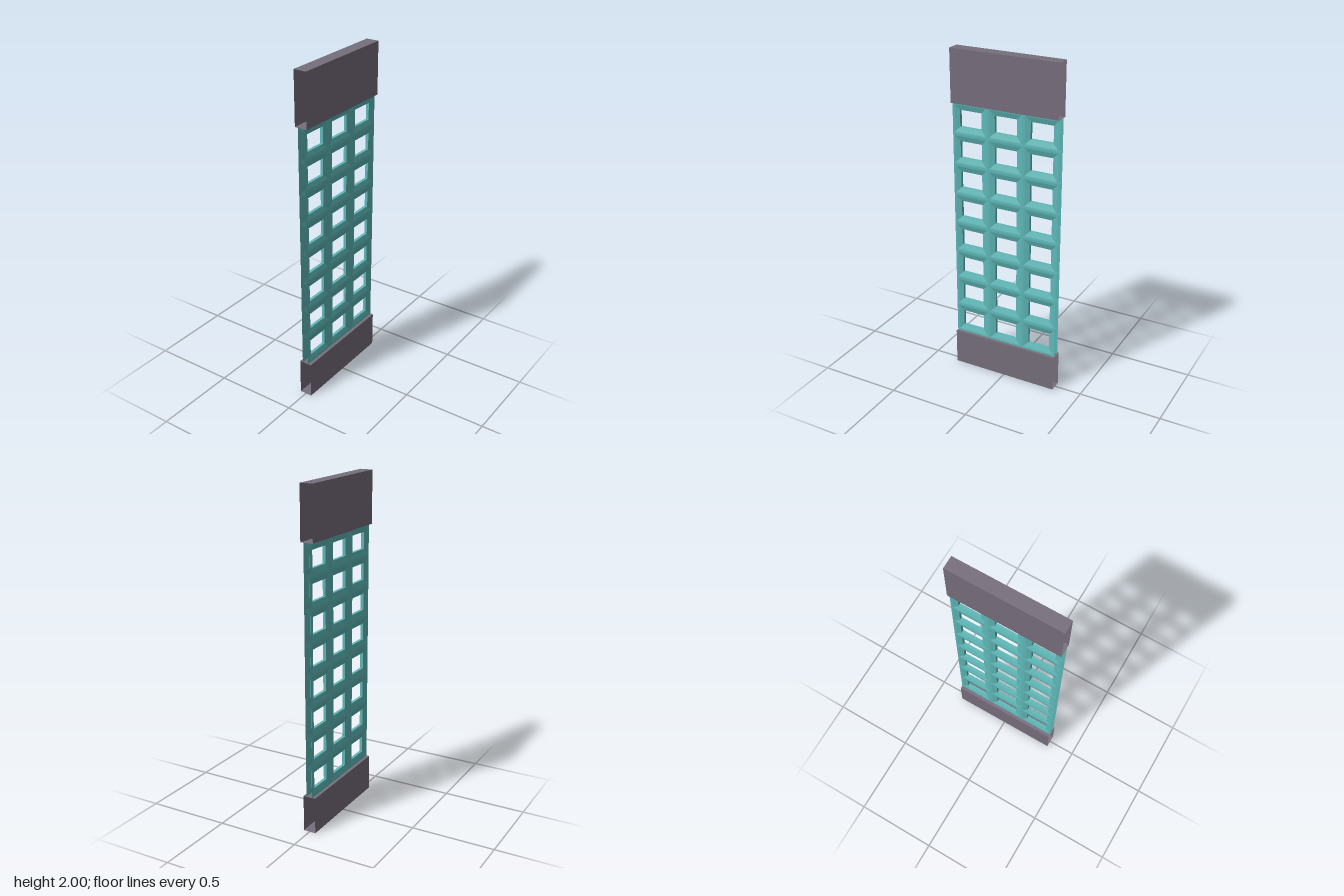
import * as THREE from 'three';
import { mergeGeometries } from 'three/addons/utils/BufferGeometryUtils.js';

const DEPTH = 0.666, BOTTOM = 0.22, TOP = 1.69;
const COLS = 3, ROWS = 8;
const CELL_W = DEPTH / COLS, CELL_H = (TOP - BOTTOM) / ROWS;

// One cell: rectangular rings funnel in to the hole, pass through and flare out again
function cellGeometry() {
  const w = CELL_W / 2, h = CELL_H / 2;
  // [inset from cell edge, x]
  const profile = [[0, 0.019], [0.012, 0.018], [0.042, 0.009], [0.042, -0.009], [0.012, -0.018], [0, -0.019]];
  const rings = profile.map(([inset, x]) =>
    [[1, 1], [-1, 1], [-1, -1], [1, -1]].map(([sy, sz]) => [x, sy * (h - inset), sz * (w - inset)]));
  const positions = [];
  for (let r = 0; r < rings.length - 1; r++) {
    for (let i = 0; i < 4; i++) {
      const j = (i + 1) % 4, a = rings[r], b = rings[r + 1];
      positions.push(...a[i], ...a[j], ...b[j], ...a[i], ...b[j], ...b[i]);
    }
  }
  const geometry = new THREE.BufferGeometry();
  geometry.setAttribute('position', new THREE.Float32BufferAttribute(positions, 3));
  geometry.computeVertexNormals();
  return geometry;
}

// Rectangular sleeve, open at its two z ends
function sleeve(name, y0, y1, material) {
  const geometry = new THREE.BoxGeometry(0.076, y1 - y0, DEPTH);
  const sides = Array.from(geometry.index.array).slice(0, 24); // +x, -x, +y, -y
  geometry.setIndex(sides);
  geometry.clearGroups();
  const mesh = new THREE.Mesh(geometry, material);
  mesh.name = name;
  mesh.position.y = (y0 + y1) / 2;
  return mesh;
}

export function createModel() {
  const group = new THREE.Group();
  group.name = 'latticePanel';
  const frameMaterial = new THREE.MeshStandardMaterial({ color: 0x766e7c, side: THREE.DoubleSide });
  const latticeMaterial = new THREE.MeshStandardMaterial({ color: 0x5fb8b8, side: THREE.DoubleSide, flatShading: true });

  // Hollow lattice of 3 x 8 openings
  const cells = [];
  for (let row = 0; row < ROWS; row++) {
    for (let col = 0; col < COLS; col++) {
      cells.push(cellGeometry().translate(0, BOTTOM + (row + 0.5) * CELL_H, (col - (COLS - 1) / 2) * CELL_W));
    }
  }
  const lattice = new THREE.Mesh(mergeGeometries(cells), latticeMaterial);
  lattice.name = 'lattice';
  group.add(lattice);

  // Top and bottom rails
  group.add(sleeve('topRail', TOP, 2, frameMaterial));
  group.add(sleeve('bottomRail', 0, BOTTOM, frameMaterial));
  return group;
}
